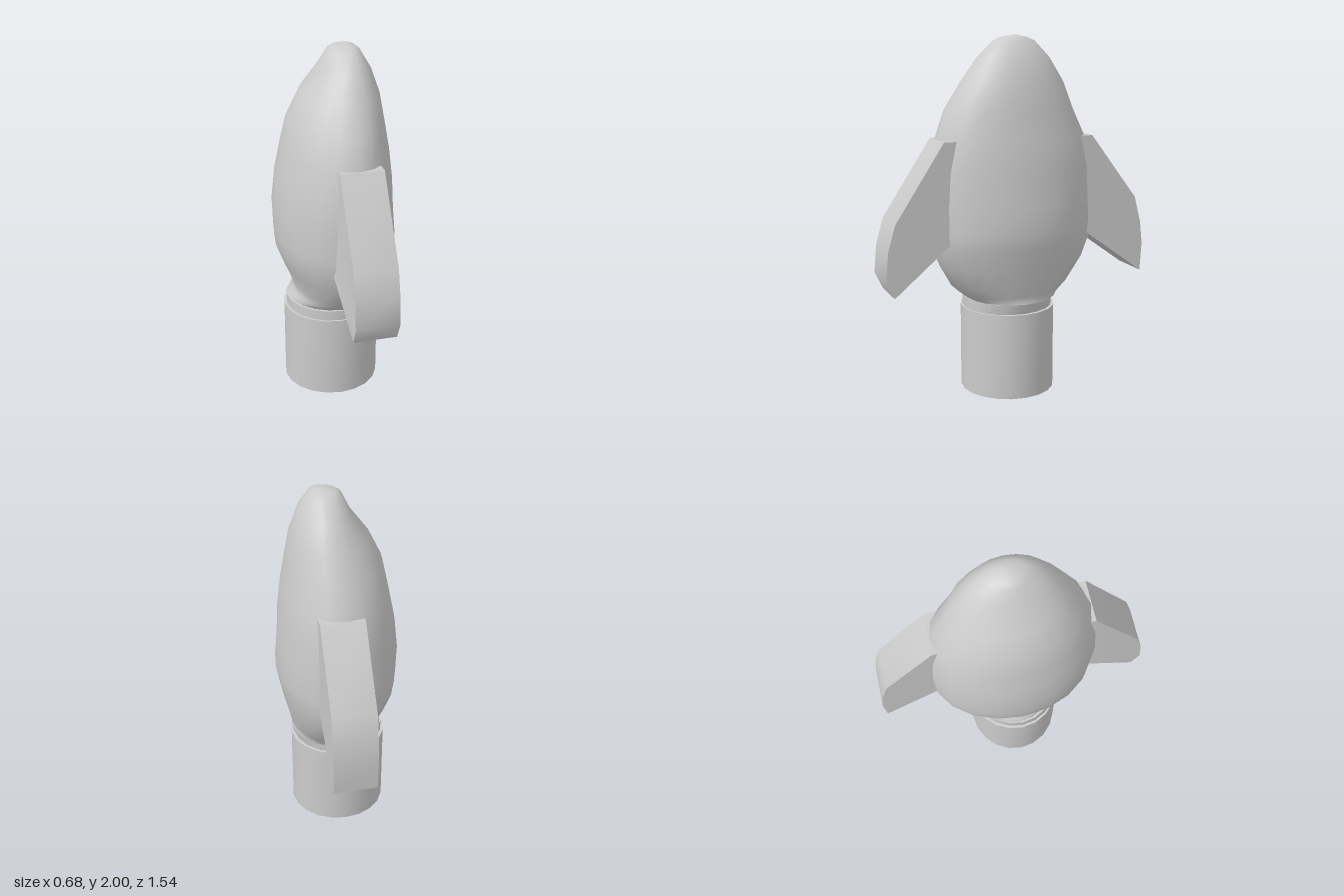
import * as THREE from 'three';
import { toCreasedNormals } from 'three/addons/utils/BufferGeometryUtils.js';

const material = new THREE.MeshStandardMaterial({ color: 0xcccccc });
const SEGMENTS = 20;

// Capped loft through oval rings: [y, xMin, xMax, zMin, zMax, x of the ridge]
function loft(name, rings, crease) {
  const pos = [], index = [];
  for (const [y, x0, x1, z0, z1, cx] of rings) {
    const cz = (z0 + z1) / 2;
    for (let j = 0; j < SEGMENTS; j++) {
      const t = (j / SEGMENTS) * Math.PI * 2, c = Math.cos(t);
      pos.push(cx + c * (c > 0 ? x1 - cx : cx - x0), y, cz + Math.sin(t) * (z1 - z0) / 2);
    }
  }
  const bottom = pos.length / 3, top = bottom + 1;
  for (const r of [rings[0], rings[rings.length - 1]]) pos.push(r[5], r[0], (r[3] + r[4]) / 2);
  const last = (rings.length - 1) * SEGMENTS;
  for (let j = 0; j < SEGMENTS; j++) {
    const k = (j + 1) % SEGMENTS;
    for (let i = 0; i < last; i += SEGMENTS) {
      const a = i + j, b = i + k, c = a + SEGMENTS, d = b + SEGMENTS;
      index.push(a, c, b, b, c, d);
    }
    index.push(bottom, j, k, top, last + k, last + j);
  }
  const geo = new THREE.BufferGeometry();
  geo.setAttribute('position', new THREE.Float32BufferAttribute(pos, 3));
  geo.setIndex(index);
  const mesh = new THREE.Mesh(toCreasedNormals(geo, crease), material);
  mesh.name = name;
  return mesh;
}

// Slab fin from a side outline of [z, y] points, with its root flared towards -x
function fin(name, outline, flare) {
  const shape = new THREE.Shape(outline.map(([z, y]) => new THREE.Vector2(z, y)));
  const geo = new THREE.ExtrudeGeometry(shape, { depth: 0.235, bevelEnabled: false });
  geo.rotateY(-Math.PI / 2).translate(0.162, 0, 0);
  const p = geo.attributes.position;
  for (let i = 0; i < p.count; i++) {
    const atRoot = Math.abs(p.getZ(i)) < 0.6 && p.getY(i) < 1.2;
    if (p.getX(i) < 0 && atRoot) p.setX(i, p.getX(i) - flare);
  }
  const mesh = new THREE.Mesh(toCreasedNormals(geo, 0.6), material);
  mesh.name = name;
  return mesh;
}

export function createModel() {
  const group = new THREE.Group();

  // Egg-shaped body rising to an off-centre blunt nose
  group.add(loft('body', [
    [0.545, -0.265, 0.255, -0.255, 0.26, 0],
    [0.565, -0.255, 0.25, -0.27, 0.285, 0],
    [0.585, -0.235, 0.255, -0.29, 0.31, 0],
    [0.63, -0.235, 0.265, -0.34, 0.36, 0.01],
    [0.75, -0.285, 0.295, -0.42, 0.43, 0.02],
    [0.87, -0.33, 0.32, -0.465, 0.475, 0.02],
    [0.95, -0.335, 0.335, -0.468, 0.48, 0.02],
    [1.1, -0.34, 0.32, -0.47, 0.485, 0.02],
    [1.28, -0.32, 0.31, -0.46, 0.475, 0.025],
    [1.45, -0.285, 0.29, -0.425, 0.44, 0.03],
    [1.6, -0.255, 0.262, -0.35, 0.39, 0.04],
    [1.75, -0.18, 0.24, -0.285, 0.3, 0.05],
    [1.88, -0.08, 0.195, -0.2, 0.215, 0.06],
    [1.97, -0.035, 0.14, -0.11, 0.125, 0.07],
    [1.99, -0.01, 0.115, -0.065, 0.075, 0.07],
    [2.0, 0.05, 0.085, -0.015, 0.02, 0.07],
  ], 1.1));

  // Stepped collar and round base
  group.add(loft('collar', [
    [0.47, -0.275, 0.235, -0.24, 0.27, -0.015],
    [0.545, -0.275, 0.255, -0.24, 0.27, -0.015],
  ], 0.7));
  group.add(loft('base', [
    [0, -0.29, 0.257, -0.255, 0.28, -0.015],
    [0.487, -0.29, 0.257, -0.255, 0.28, -0.015],
  ], 0.7));

  // Swept fins at front and back
  group.add(fin('frontFin', [
    [0.3, 0.98], [0.46, 0.86], [0.73, 0.635], [0.775, 0.73],
    [0.76, 0.89], [0.72, 1.03], [0.445, 1.45], [0.3, 1.45],
  ], 0.03));
  group.add(fin('backFin', [
    [-0.3, 1.45], [-0.43, 1.45], [-0.715, 1.08], [-0.755, 0.93],
    [-0.77, 0.8], [-0.76, 0.64], [-0.46, 0.855], [-0.3, 0.97],
  ], 0));
  return group;
}
